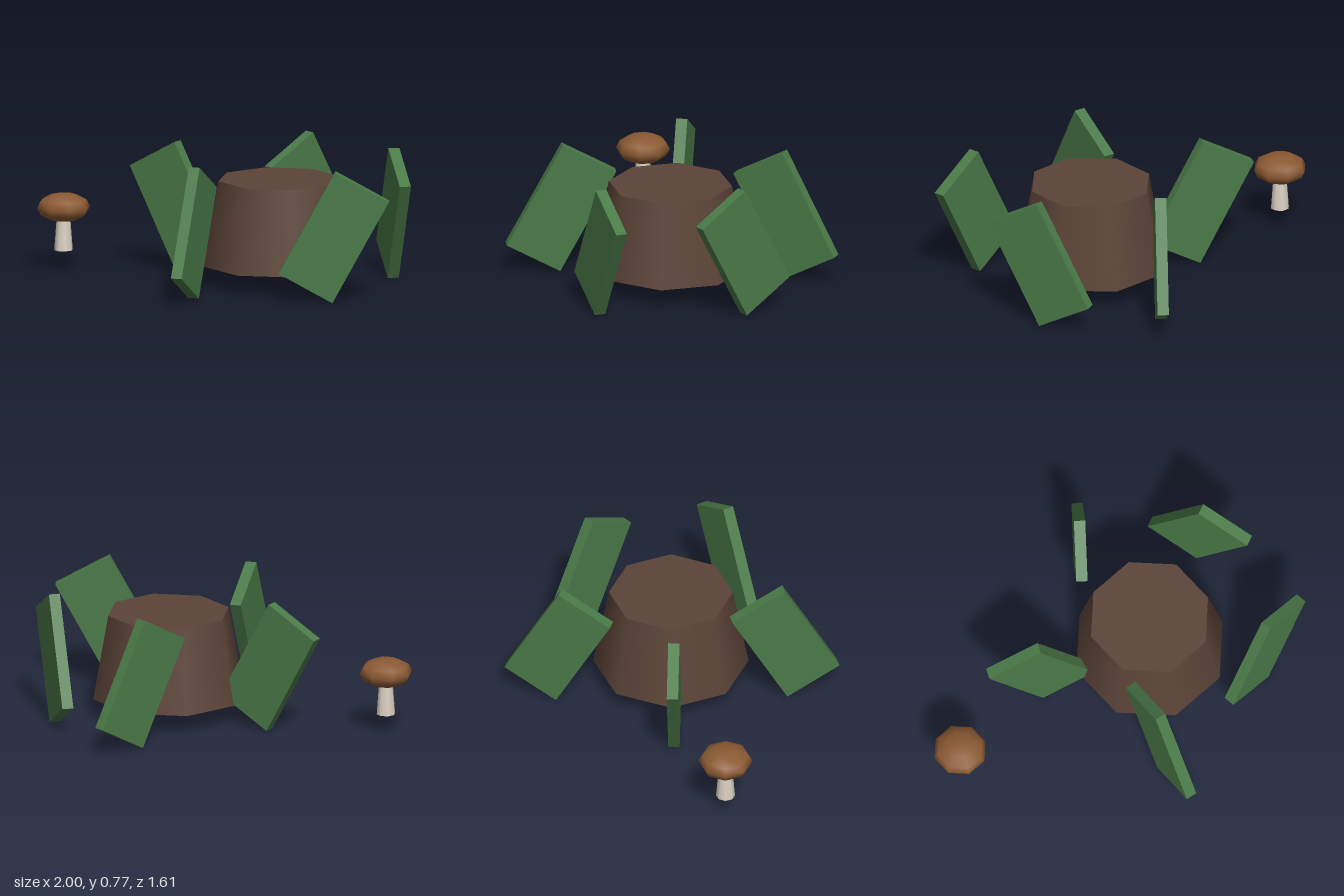
import * as THREE from 'three';

export function createModel() {
  const group = new THREE.Group();
  const mat = (name, color) => {
    const m = new THREE.MeshStandardMaterial({ color });
    m.name = name;
    return m;
  };
  const bark = mat('bark brown', 0x5c4438);
  const green = mat('leaf green', 0x4a7a48);
  const capBrown = mat('cap brown', 0x8b5a33);
  const cream = mat('stem cream', 0xdcd3c4);

  const add = (name, geometry, material, x, y, z) => {
    const mesh = new THREE.Mesh(geometry, material);
    mesh.name = name;
    mesh.position.set(x, y, z);
    group.add(mesh);
    return mesh;
  };

  // Tapered eight-sided stump
  const cx = 0.287, cz = 0.03;
  add('stump', new THREE.CylinderGeometry(0.36, 0.45, 0.5, 8), bark, cx, 0.365, cz);

  // Five tilted leaf slabs spaced 1.3 radians apart around the stump
  const slab = new THREE.BoxGeometry(0.066, 0.682, 0.356);
  for (let i = 0; i < 5; i++) {
    const a = i * 1.3;
    const leaf = add('leafSlab' + (i + 1), slab, green,
      cx + Math.cos(a) * 0.68, 0.385, cz + Math.sin(a) * 0.68);
    leaf.rotation.set(0.5, a, 0, 'YXZ');
  }

  // Mushroom beside the stump
  const mx = -0.843, mz = -0.65;
  add('mushroomStem', new THREE.CylinderGeometry(0.04, 0.055, 0.2, 8), cream, mx, 0.215, mz);
  const cap = add('mushroomCap', new THREE.SphereGeometry(0.157, 8, 6), capBrown, mx, 0.367, mz);
  cap.scale.y = 0.53;

  return group;
}
